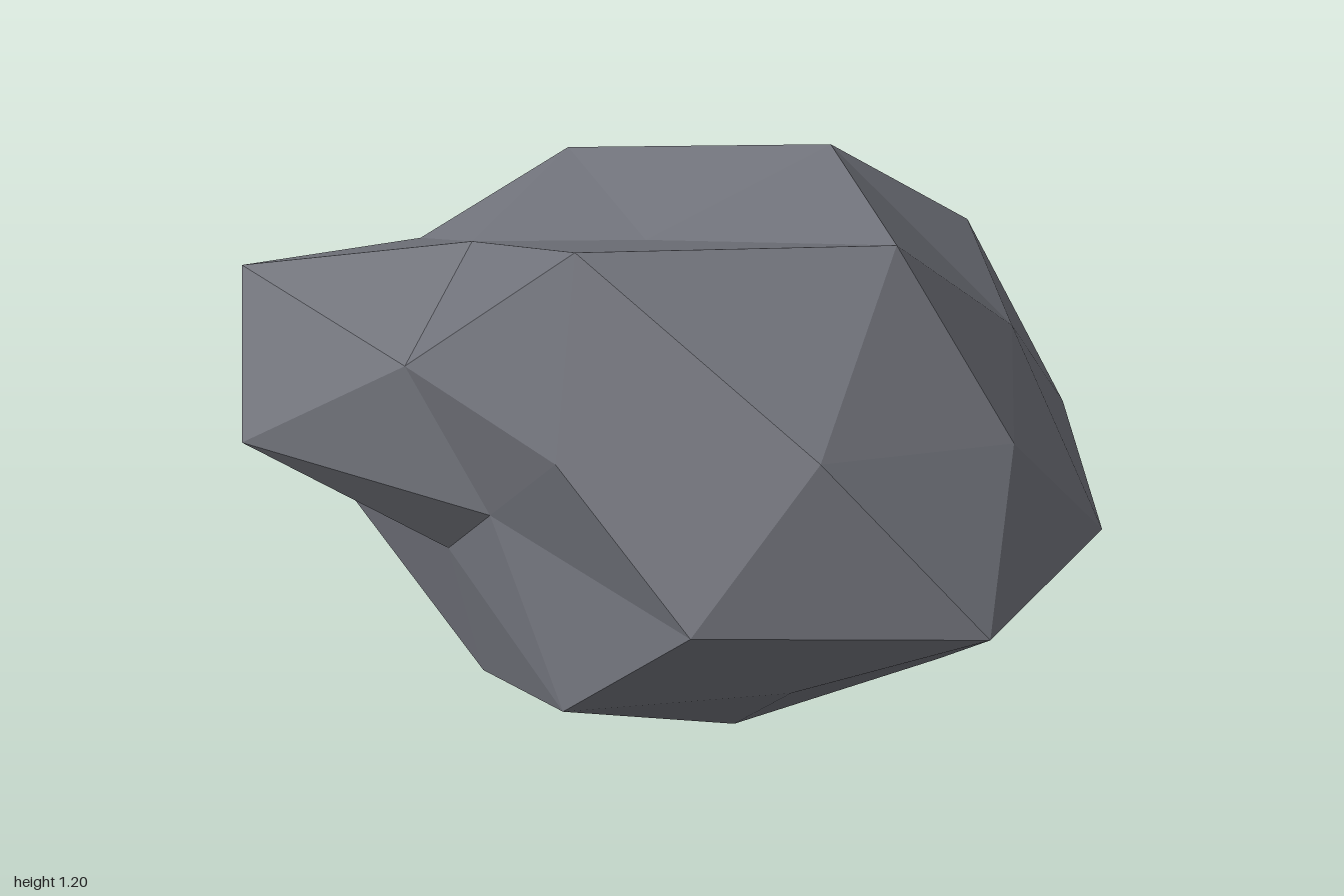
import * as THREE from 'three';

// Proportions of the boulder and the point it bulges out from
const STRETCH = new THREE.Vector3(1, 0.597, 0.72);
const CENTER = new THREE.Vector3(-0.045, 0.57, 0.105);

// Bulge of each ring of points, going round from +x towards +z.
// start = angle of first point, rise = height on the unit sphere
const RINGS = {
  top: { start: 0, rise: 1, bulge: [0.735] },
  cap: { start: 0, rise: 0.8507, bulge: [1.205, 1.25, 0.79, 0.937, 1.125] },
  upper: { start: 0, rise: 0.4472, bulge: [1.033, 0.97, 1.11, 0.955, 1.2] },
  upperMid: { start: 36, rise: 0.5257, bulge: [1.083, 0.86, 0.79, 1.035, 1.0] },
  belt: { start: 18, rise: 0, bulge: [1.1, 1.025, 0.7, 1.06, 0.8, 1.005, 0.94, 1.16, 1.12, 1.057] },
  lowerMid: { start: 0, rise: -0.5257, bulge: [0.918, 1.02, 0.885, 0.86, 0.798] },
  lower: { start: 36, rise: -0.4472, bulge: [0.905, 0.71, 0.895, 1.14, 1.075] },
  base: { start: 36, rise: -0.8507, bulge: [0.978, 1.04, 0.75, 0.8, 1.115] },
  bottom: { start: 0, rise: -1, bulge: [0.69] },
};

function ringPoints({ start, rise, bulge }) {
  const radius = Math.sqrt(1 - rise * rise);
  return bulge.map((r, i) => {
    const a = THREE.MathUtils.degToRad(start + (360 / bulge.length) * i);
    return new THREE.Vector3(radius * Math.cos(a), rise, radius * Math.sin(a))
      .multiplyScalar(r).multiply(STRETCH).add(CENTER);
  });
}

function boulderGeometry() {
  const p = {};
  for (const name in RINGS) p[name] = ringPoints(RINGS[name]);
  const corners = [];

  // One large facet split in four by its edge points
  const facet = (a, b, c, ab, bc, ca) =>
    corners.push(a, ab, ca, ab, b, bc, ca, bc, c, ab, bc, ca);

  for (let k = 0; k < 5; k++) {
    const n = (k + 1) % 5;
    const top = p.top[0], bottom = p.bottom[0];
    const beltA = p.belt[2 * k], beltB = p.belt[2 * k + 1], beltC = p.belt[2 * n];
    facet(p.upper[k], top, p.upper[n], p.cap[k], p.cap[n], p.upperMid[k]);
    facet(p.upper[k], p.upper[n], p.lower[k], p.upperMid[k], beltB, beltA);
    facet(p.lower[k], p.upper[n], p.lower[n], beltB, beltC, p.lowerMid[n]);
    facet(p.lower[k], p.lower[n], bottom, p.lowerMid[n], p.base[n], p.base[k]);
  }

  const geometry = new THREE.BufferGeometry().setFromPoints(corners);
  geometry.computeVertexNormals();
  return geometry;
}

export function createModel() {
  const stone = new THREE.MeshStandardMaterial({ color: 0x70727a });
  stone.name = 'greyStone';
  stone.flatShading = true;

  const boulder = new THREE.Mesh(boulderGeometry(), stone);
  boulder.name = 'boulder';

  const group = new THREE.Group();
  group.name = 'rock';
  group.add(boulder);
  return group;
}
